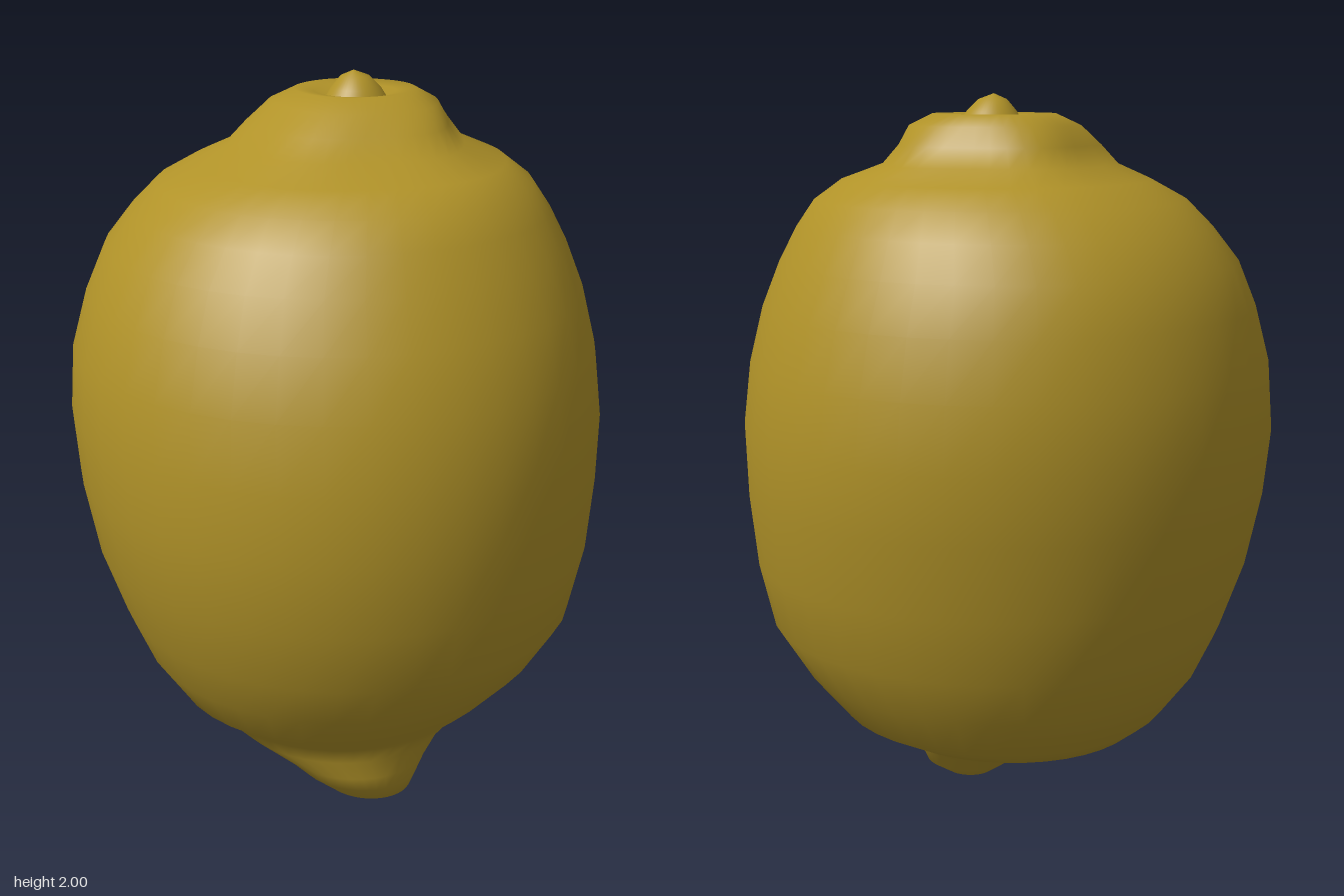
import * as THREE from 'three';

const SIDES = 40;

// Skin a stack of rings [y, xMin, xMax, zMin, zMax] from bottom to top.
function loft(rings, bump) {
  const pos = [], index = [];
  rings.forEach(([y, x0, x1, z0, z1]) => {
    for (let j = 0; j < SIDES; j++) {
      const a = (j / SIDES) * Math.PI * 2;
      const k = 1 + bump(y, a);
      pos.push((x0 + x1) / 2 + Math.cos(a) * k * (x1 - x0) / 2, y,
               (z0 + z1) / 2 + Math.sin(a) * k * (z1 - z0) / 2);
    }
  });
  for (let i = 0; i < rings.length - 1; i++) {
    for (let j = 0; j < SIDES; j++) {
      const a = i * SIDES + j, b = i * SIDES + (j + 1) % SIDES;
      index.push(a, a + SIDES, b, b, a + SIDES, b + SIDES);
    }
  }
  const g = new THREE.BufferGeometry();
  g.setAttribute('position', new THREE.Float32BufferAttribute(pos, 3));
  g.setIndex(index);
  g.computeVertexNormals();
  return g;
}

// Off-centre tip at the bottom of the fruit
const tip = [
  [0, 0.17, 0.17, 0.13, 0.13],
  [0.015, 0.10, 0.24, 0.07, 0.20],
  [0.05, 0.05, 0.30, 0.02, 0.25],
  [0.10, -0.02, 0.32, -0.02, 0.30],
  [0.15, -0.09, 0.335, -0.08, 0.335],
];

// Main swelling of the fruit
const belly = [
  [0.20, -0.26, 0.35, -0.21, 0.36],
  [0.25, -0.37, 0.39, -0.32, 0.39],
  [0.32, -0.45, 0.47, -0.45, 0.48],
  [0.44, -0.54, 0.58, -0.53, 0.56],
  [0.57, -0.60, 0.66, -0.60, 0.62],
  [0.75, -0.66, 0.70, -0.65, 0.68],
  [0.95, -0.70, 0.715, -0.69, 0.71],
  [1.13, -0.72, 0.715, -0.71, 0.71],
  [1.30, -0.71, 0.69, -0.70, 0.69],
  [1.45, -0.675, 0.645, -0.67, 0.64],
  [1.57, -0.63, 0.59, -0.63, 0.58],
  [1.66, -0.56, 0.54, -0.58, 0.52],
  [1.73, -0.49, 0.49, -0.53, 0.46],
];

// Raised collar that dips in around the stem
const collar = [
  [1.78, -0.40, 0.42, -0.46, 0.36],
  [1.82, -0.31, 0.31, -0.37, 0.25],
  [1.87, -0.27, 0.26, -0.34, 0.18],
  [1.92, -0.23, 0.22, -0.31, 0.11],
  [1.95, -0.17, 0.15, -0.27, 0.05],
  [1.945, -0.11, 0.11, -0.20, 0.01],
  [1.93, -0.07, 0.08, -0.16, -0.02],
  [1.93, 0, 0, -0.09, -0.09],
];

// Small stem scar on top
const stem = [
  [1.92, -0.08, 0.09, -0.18, 0],
  [1.955, -0.06, 0.07, -0.155, -0.02],
  [1.985, -0.035, 0.04, -0.125, -0.05],
  [2.0, 0, 0, -0.085, -0.085],
];

export function createModel() {
  const group = new THREE.Group();
  const peel = new THREE.MeshStandardMaterial({ color: 0xb09228 });
  peel.name = 'lemon peel';

  // Gentle lumps, strongest on the collar
  const lumps = (y, a) => {
    const neck = Math.exp(-(((y - 1.86) / 0.07) ** 2));
    return 0.045 * neck * Math.sin(a * 5 + 0.6) + 0.004 * Math.sin(a * 3 + y * 5);
  };

  const fruit = new THREE.Mesh(loft([...tip, ...belly, ...collar], lumps), peel);
  fruit.name = 'fruit';
  const scar = new THREE.Mesh(loft(stem, () => 0), peel);
  scar.name = 'stemScar';
  group.add(fruit, scar);
  return group;
}
